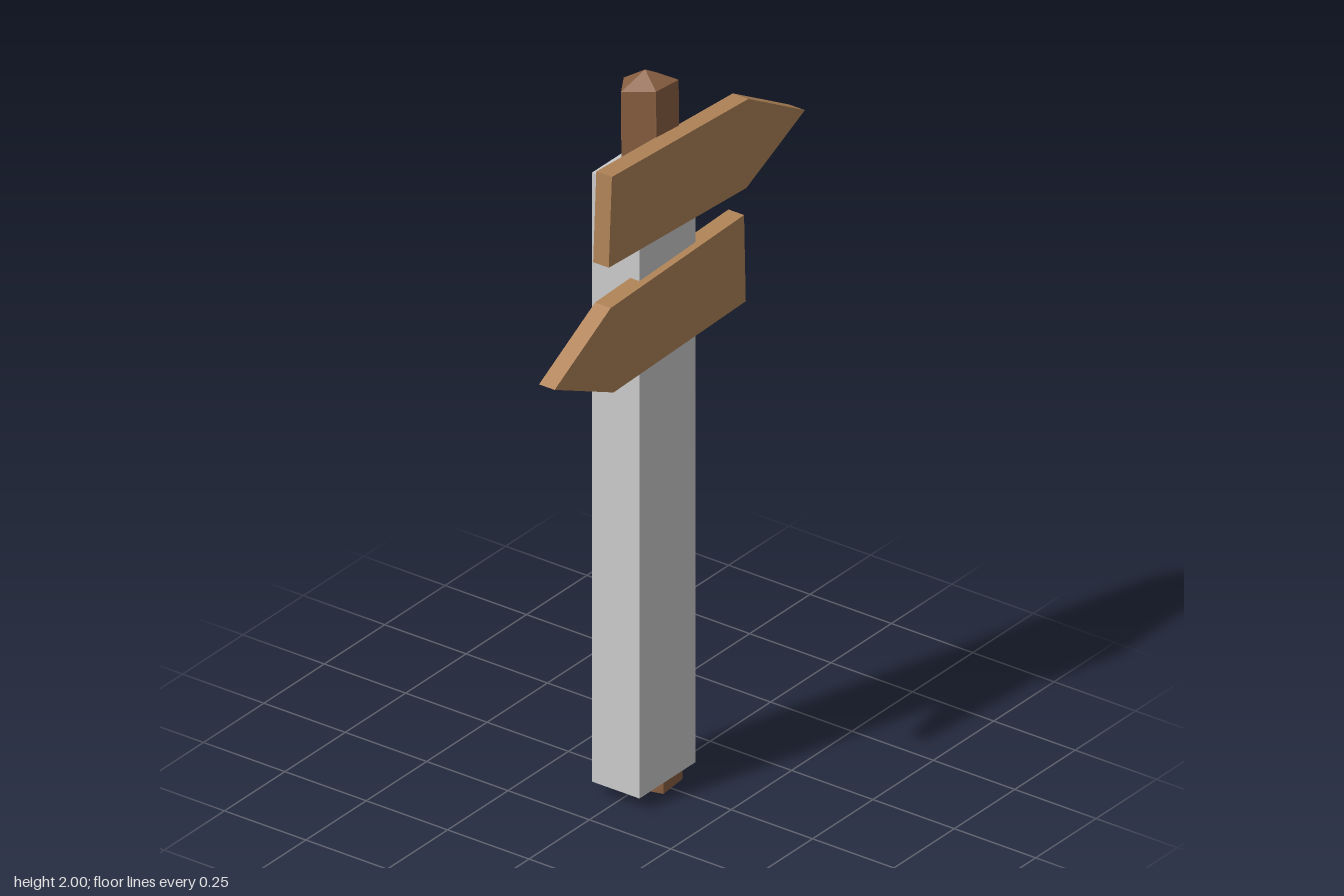
import * as THREE from 'three';

const mat = (name, color) => {
  const m = new THREE.MeshStandardMaterial({ color });
  m.name = name;
  m.flatShading = true;
  return m;
};

// Pentagonal post from two slightly irregular rings and a pointed cap
function postGeometry() {
  const bottom = [[0, 0.01, -0.08], [0.085, 0.01, -0.03], [0.055, 0, 0.06], [-0.035, 0, 0.068], [-0.06, 0, -0.025]];
  const top = [[0.02, 1.94, -0.095], [0.09, 1.94, -0.045], [0.055, 1.965, 0.048], [-0.035, 1.97, 0.045], [-0.065, 1.955, -0.04]];
  const apex = [-0.003, 2, -0.012];
  const p = [];
  const tri = (...corners) => corners.forEach((c) => p.push(...c));
  for (let i = 0; i < 5; i++) {
    const j = (i + 1) % 5;
    tri(bottom[j], bottom[i], top[i]);
    tri(bottom[j], top[i], top[j]);
    tri(top[j], top[i], apex);
    if (i > 0 && i < 4) tri(bottom[0], bottom[i], bottom[j]);
  }
  const g = new THREE.BufferGeometry();
  g.setAttribute('position', new THREE.Float32BufferAttribute(p, 3));
  g.computeVertexNormals();
  return g;
}

// Arrow-shaped board cut from a plank
function boardGeometry(outline) {
  const shape = new THREE.Shape(outline.map(([x, y]) => new THREE.Vector2(x, y)));
  return new THREE.ExtrudeGeometry(shape, { depth: 0.048, bevelEnabled: false }).translate(0, 0, 0.045);
}

export function createModel() {
  const group = new THREE.Group();
  const darkWood = mat('dark wood', 0x8a6042);
  const lightWood = mat('light wood', 0xb08357);
  const grey = mat('light grey', 0xcccccc);
  const add = (name, geometry, material) => {
    const mesh = new THREE.Mesh(geometry, material);
    mesh.name = name;
    group.add(mesh);
  };

  add('post', postGeometry(), darkWood);

  // Square sleeve around the post
  add('sleeve', new THREE.BoxGeometry(0.232, 1.715, 0.146).translate(-0.025, 0.893, 0), grey);

  // Arrow boards, pointing opposite ways
  add('upperBoard', boardGeometry([[-0.295, 1.605], [0.275, 1.578], [0.517, 1.69], [0.283, 1.825], [-0.282, 1.855]]), lightWood);
  add('lowerBoard', boardGeometry([[-0.275, 1.245], [0.272, 1.26], [0.265, 1.506], [-0.287, 1.488], [-0.519, 1.36]]), lightWood);

  return group;
}
